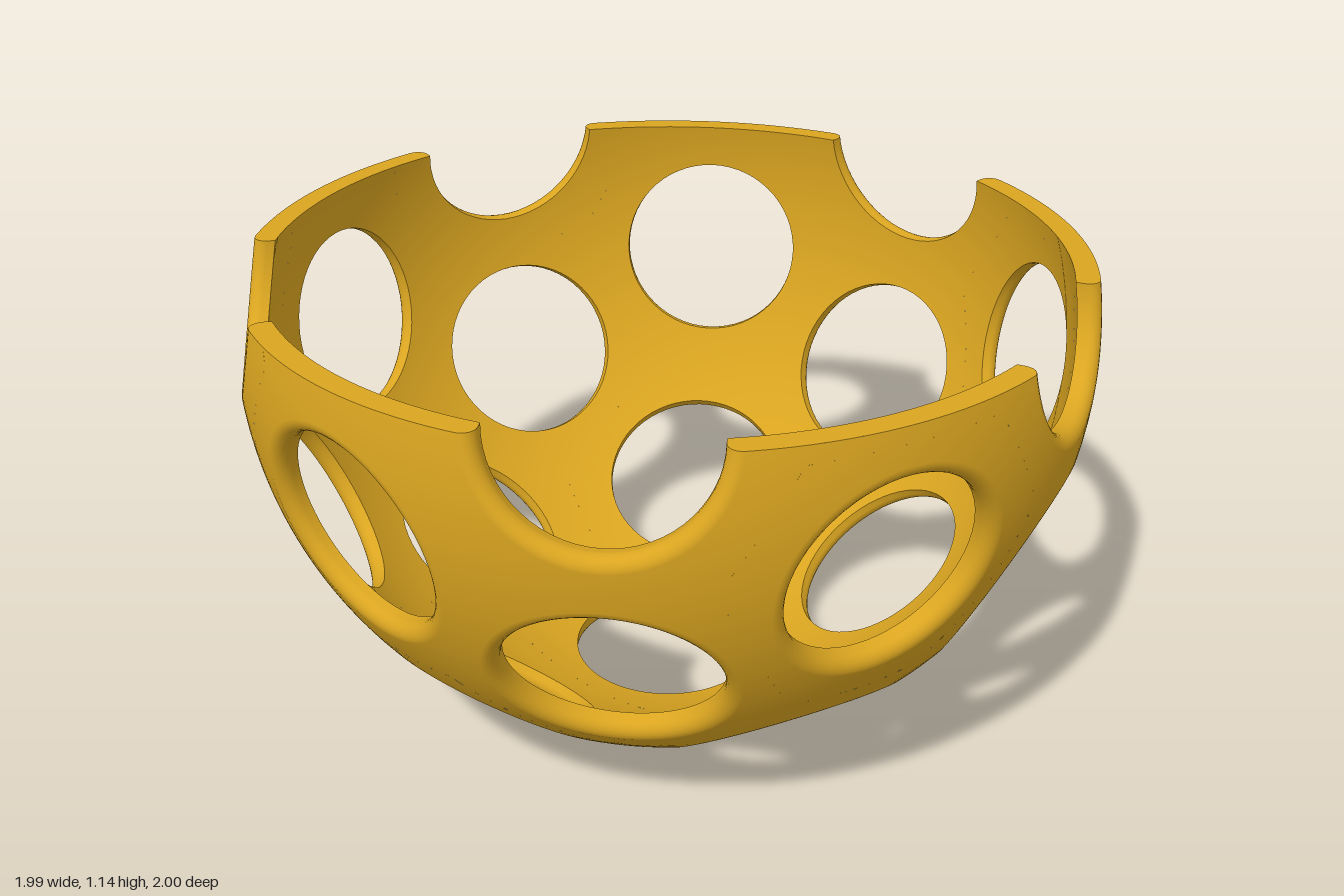
import * as THREE from 'three';

const R = 1, RI = 0.945;        // outer and inner shell radii
const HOLE = 0.236, LIP = 0.03; // hole radius and rounded lip radius
const CENTRE_Y = 0.963, CUT = 0.173; // sphere centre height, cut height above it
const SECTORS = 60, LIP_STEPS = 6, SPHERE_STEPS = 6;

// Hole axes: 12 pentagon and 20 hexagon centres of a football pattern
function holeAxes() {
  const axes = [new THREE.Vector3(0, -1, 0), new THREE.Vector3(0, 1, 0)];
  const rings = [[37.377, 180], [63.435, 0], [79.188, 180], [100.812, 0], [116.565, 180], [142.623, 0]];
  for (const [polar, start] of rings) {
    for (let i = 0; i < 5; i++) {
      const p = polar * Math.PI / 180, a = (start + 72 * i) * Math.PI / 180;
      axes.push(new THREE.Vector3(Math.sin(p) * Math.cos(a), -Math.cos(p), Math.sin(p) * Math.sin(a)));
    }
  }
  return axes;
}

// Collects triangles, trimming everything above the cut plane
class Surface {
  constructor() { this.pos = []; this.nor = []; }
  face(corners) {
    const out = [];
    corners.forEach((a, i) => {
      const b = corners[(i + 1) % corners.length];
      if (a.p.y <= CUT) out.push(a);
      if ((a.p.y <= CUT) !== (b.p.y <= CUT)) {
        const t = (CUT - a.p.y) / (b.p.y - a.p.y);
        out.push({ p: a.p.clone().lerp(b.p, t), n: a.n.clone().lerp(b.n, t).normalize() });
      }
    });
    this.fan(out);
  }
  fan(v) {
    for (let i = 1; i + 1 < v.length; i++) {
      for (const q of [v[0], v[i], v[i + 1]]) {
        this.pos.push(q.p.x, q.p.y, q.p.z);
        this.nor.push(q.n.x, q.n.y, q.n.z);
      }
    }
  }
  quad(a, b, c, d) { this.face([a, b, c]); this.face([a, c, d]); }
  // Flat rim where the plane passes through a solid block of the shell
  cap(bottom, top) {
    const hits = [], all = [...bottom, ...top];
    for (let i = 0; i < 4; i++) {
      const k = (i + 1) % 4;
      for (const [s, e] of [[i, k], [i + 4, k + 4], [i, i + 4]]) {
        const a = all[s].p, b = all[e].p;
        if ((a.y <= CUT) !== (b.y <= CUT)) hits.push(a.clone().lerp(b, (CUT - a.y) / (b.y - a.y)));
      }
    }
    if (hits.length < 3) return;
    const mid = hits.reduce((s, h) => s.add(h), new THREE.Vector3()).divideScalar(hits.length);
    const angle = (h) => Math.atan2(h.x - mid.x, h.z - mid.z);
    hits.sort((a, b) => angle(a) - angle(b));
    this.fan(hits.map((p) => ({ p, n: new THREE.Vector3(0, 1, 0) })));
  }
  geometry() {
    const g = new THREE.BufferGeometry();
    g.setAttribute('position', new THREE.Float32BufferAttribute(this.pos, 3));
    g.setAttribute('normal', new THREE.Float32BufferAttribute(this.nor, 3));
    return g;
  }
}

// One patch of shell around one hole, reaching halfway to its neighbours
function addCell(surface, c, axes) {
  const near = axes.filter((n) => n !== c && n.dot(c) > 0.7);
  const e1 = new THREE.Vector3(0, 0, 1).cross(c);
  if (e1.length() < 0.1) e1.set(1, 0, 0).cross(c);
  e1.normalize();
  const e2 = c.clone().cross(e1);

  // Even sectors plus the exact corners of the patch
  const angles = [];
  for (let i = 0; i < SECTORS; i++) angles.push(i / SECTORS * 2 * Math.PI);
  near.forEach((a, i) => near.slice(i + 1).forEach((b) => {
    if (a.dot(b) < 0.7) return;
    const v = a.clone().sub(c).cross(b.clone().sub(c));
    if (v.dot(c) < 0) v.negate();
    angles.push((Math.atan2(v.dot(e2), v.dot(e1)) + 2 * Math.PI) % (2 * Math.PI));
  }));
  angles.sort((a, b) => a - b);

  // Section through the shell from the hole out to the patch edge
  const lipR = HOLE + LIP, lipZ = Math.sqrt((R - LIP) ** 2 - lipR ** 2);
  const lipEnd = Math.atan2(lipZ, lipR), steps = LIP_STEPS + SPHERE_STEPS;
  const sections = angles.map((phi) => {
    const e = e1.clone().multiplyScalar(Math.cos(phi)).addScaledVector(e2, Math.sin(phi));
    const at = (r, z) => c.clone().multiplyScalar(z).addScaledVector(e, r);
    let edge = Math.PI;
    for (const n of near) if (e.dot(n) > 1e-6) edge = Math.min(edge, Math.atan((1 - c.dot(n)) / e.dot(n)));
    const outer = [], inner = [];
    for (let j = 0; j <= steps; j++) {
      if (j <= LIP_STEPS) {
        const s = THREE.MathUtils.lerp(Math.PI, lipEnd, j / LIP_STEPS);
        outer.push({ p: at(lipR + LIP * Math.cos(s), lipZ + LIP * Math.sin(s)), n: at(Math.cos(s), Math.sin(s)) });
      } else {
        const t = THREE.MathUtils.lerp(Math.PI / 2 - lipEnd, edge, (j - LIP_STEPS) / SPHERE_STEPS);
        const n = at(Math.sin(t), Math.cos(t));
        outer.push({ p: n.clone().multiplyScalar(R), n });
      }
      const t = THREE.MathUtils.lerp(Math.asin(HOLE / RI), edge, j / steps);
      const n = at(-Math.sin(t), -Math.cos(t));
      inner.push({ p: n.clone().multiplyScalar(-RI), n });
    }
    const wall = [inner[0], outer[0]].map((v) => ({ p: v.p, n: e.clone().negate() }));
    return { outer, inner, wall };
  });

  sections.forEach((a, i) => {
    const b = sections[(i + 1) % sections.length];
    surface.quad(a.wall[0], a.wall[1], b.wall[1], b.wall[0]);
    for (let j = 0; j < steps; j++) {
      const top = [a.outer[j], a.outer[j + 1], b.outer[j + 1], b.outer[j]];
      const bottom = [a.inner[j], a.inner[j + 1], b.inner[j + 1], b.inner[j]];
      surface.quad(...top);
      surface.quad(...bottom.slice().reverse());
      surface.cap(bottom, top);
    }
  });
}

export function createModel() {
  const group = new THREE.Group();
  group.name = 'perforatedBowl';
  const surface = new Surface();
  const axes = holeAxes();
  for (const c of axes) addCell(surface, c, axes);
  const shell = new THREE.Mesh(surface.geometry(), new THREE.MeshStandardMaterial({ color: 0xdaa520 }));
  shell.name = 'bowlShell';
  shell.position.y = CENTRE_Y;
  group.add(shell);
  return group;
}
